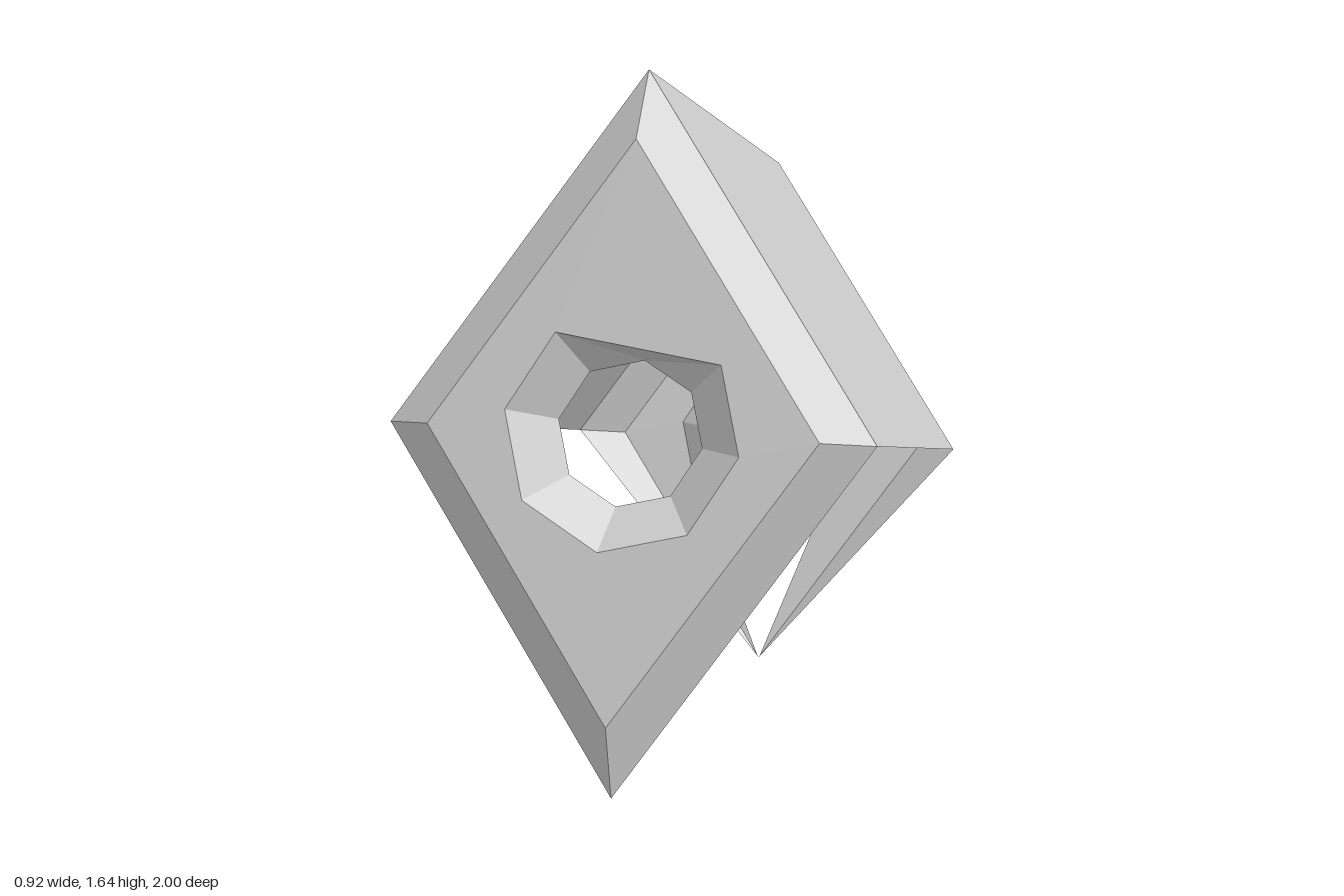
import * as THREE from 'three';

export function createModel() {
  const grey = new THREE.MeshStandardMaterial({ color: 0xcccccc, side: THREE.DoubleSide, flatShading: true });
  grey.name = 'light grey';

  // The shell is built straight along z, then tilted as a whole
  const body = new THREE.Group();
  body.name = 'tiltedShell';
  const rimZ = 0.803, faceZ = 0.886;
  const rim = { x: 0.46, y: 0.675 }, face = { x: 0.365, y: 0.537 };

  const add = (name, geometry, parent) => {
    const mesh = new THREE.Mesh(geometry, grey);
    mesh.name = name;
    parent.add(mesh);
    return mesh;
  };
  // Flat faces from lists of 3 or 4 corners, counter-clockwise from outside
  const faces = (...polys) => {
    const pos = [];
    for (const p of polys)
      for (let i = 1; i < p.length - 1; i++) pos.push(...p[0], ...p[i], ...p[i + 1]);
    const g = new THREE.BufferGeometry();
    g.setAttribute('position', new THREE.Float32BufferAttribute(pos, 3));
    g.computeVertexNormals();
    return g;
  };
  const diamond = (d, z) => [[d.x, 0, z], [0, d.y, z], [-d.x, 0, z], [0, -d.y, z]];
  // Eight-sided hole rings: wide at the face, narrow inside
  const ring = (r, z) => Array.from({ length: 8 }, (_, i) => {
    const a = THREE.MathUtils.degToRad(-8.5 + 45 * i);
    return [r * Math.cos(a), r * Math.sin(a), z];
  });
  const flat = (points) => points.map(([x, y]) => new THREE.Vector2(x, y));

  // Two roof panels
  const f = diamond(rim, rimZ), b = diamond(rim, -rimZ);
  add('roofLeft', faces([f[0], b[0], b[1], f[1]]), body);
  add('roofRight', faces([f[1], b[1], b[2], f[2]]), body);

  // Front end: bevelled rim, pierced face and funnel walls
  const front = new THREE.Group();
  front.name = 'frontEnd';
  body.add(front);
  const fi = diamond(face, faceZ);
  add('frontBevel', faces(...[0, 1, 2, 3].map((i) => {
    const j = (i + 1) % 4;
    return [f[i], f[j], fi[j], fi[i]];
  })), front);
  const wide = ring(0.222, faceZ), narrow = ring(0.138, rimZ);
  const frontShape = new THREE.Shape(flat(fi));
  frontShape.holes.push(new THREE.Path(flat(wide.filter((_, i) => i !== 2))));
  add('frontFace', new THREE.ShapeGeometry(frontShape).translate(0, 0, faceZ), front);
  const walls = (o, n, list) => list.map((i) => {
    const j = (i + 1) % 8;
    return [o[i], o[j], n[j], n[i]];
  });
  add('frontHoleWalls', faces(
    ...walls(wide, narrow, [0, 3, 4, 5, 6, 7]),
    [wide[1], narrow[2], narrow[1]], [wide[1], wide[3], narrow[2]], [wide[3], narrow[3], narrow[2]],
  ), front);

  // Back end: its lower bevels taper to the tip and its hole opens downward
  const back = new THREE.Group();
  back.name = 'backEnd';
  body.add(back);
  const bi = diamond(face, -faceZ);
  add('backBevel', faces(
    [b[1], b[0], bi[0], bi[1]], [b[2], b[1], bi[1], bi[2]],
    [b[0], bi[3], bi[0]], [b[2], bi[2], bi[3]],
  ), back);
  const bWide = ring(0.222, -faceZ), bNarrow = ring(0.138, -rimZ);
  const backShape = new THREE.Shape(flat([
    [0.001, -face.y], bi[0], bi[1], bi[2], [-0.001, -face.y],
    bWide[5], bWide[4], bWide[3], bWide[1], bWide[0], bWide[7],
  ]));
  add('backFace', new THREE.ShapeGeometry(backShape).translate(0, 0, -faceZ), back);
  add('backHoleWalls', faces(...walls(bWide, bNarrow, [0, 3, 4, 7])), back);

  body.rotation.x = THREE.MathUtils.degToRad(-16.4);
  body.position.y = 0.767;
  const model = new THREE.Group();
  model.name = 'diamondShelter';
  model.add(body);
  return model;
}
